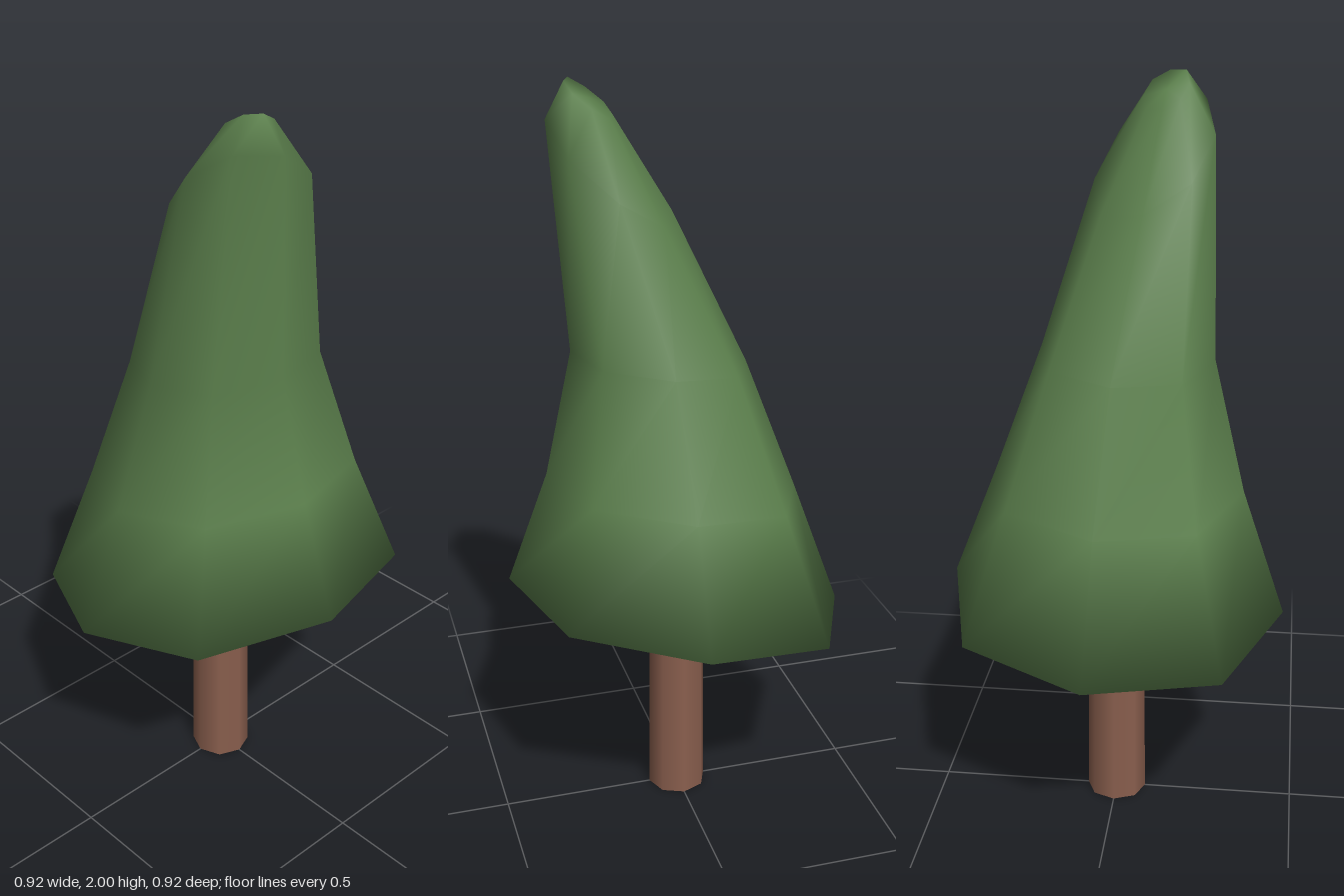
import * as THREE from 'three';

const SIDES = 8;

// Skin a stack of tilted eight-sided rings, closed at both ends, with shared smooth normals.
// Ring: centre x, y, z, radius, and the slope of its plane along x and z.
function loft(rings, twist) {
  const pos = [], idx = [];
  for (const [cx, cy, cz, r, sx, sz] of rings) {
    for (let j = 0; j < SIDES; j++) {
      const a = twist + (j / SIDES) * Math.PI * 2;
      const rr = r * (j % 2 ? 1.05 : 1);
      const dx = Math.cos(a) * rr, dz = Math.sin(a) * rr;
      pos.push(cx + dx, cy + sx * dx + sz * dz, cz + dz);
    }
  }
  const last = rings.length - 1;
  for (let i = 0; i < last; i++) {
    for (let j = 0; j < SIDES; j++) {
      const k = (j + 1) % SIDES;
      const a = i * SIDES + j, b = i * SIDES + k;
      idx.push(a, a + SIDES, b, b, a + SIDES, b + SIDES);
    }
  }
  // End caps
  const bottom = pos.length / 3, top = bottom + 1;
  pos.push(...rings[0].slice(0, 3), ...rings[last].slice(0, 3));
  for (let j = 0; j < SIDES; j++) {
    const k = (j + 1) % SIDES;
    idx.push(bottom, j, k, top, last * SIDES + k, last * SIDES + j);
  }
  const g = new THREE.BufferGeometry();
  g.setAttribute('position', new THREE.Float32BufferAttribute(pos, 3));
  g.setIndex(idx);
  g.computeVertexNormals();
  return g;
}

export function createModel() {
  const tree = new THREE.Group();
  tree.name = 'tree';

  // Leaning crown: tilted rim at the bottom, bent blunt tip at the top
  const crown = new THREE.Mesh(
    loft([
      [0, 0.625, 0, 0.46, 0.035, 0.165],
      [-0.005, 0.955, 0.01, 0.338, 0.03, 0.13],
      [-0.025, 1.3, 0.04, 0.232, 0.03, 0.12],
      [-0.08, 1.79, 0.15, 0.158, -0.45, 0.72],
      [-0.105, 1.955, 0.195, 0.06, -0.36, 0.68],
    ], 0.087),
    new THREE.MeshStandardMaterial({ color: 0x5b7f4c })
  );
  crown.name = 'crown';

  // Slightly tapered trunk, its top buried in the crown
  const trunk = new THREE.Mesh(
    new THREE.CylinderGeometry(0.076, 0.082, 0.68, SIDES),
    new THREE.MeshStandardMaterial({ color: 0x8a5f4e })
  );
  trunk.position.y = 0.34;
  trunk.name = 'trunk';

  tree.add(crown, trunk);
  return tree;
}
